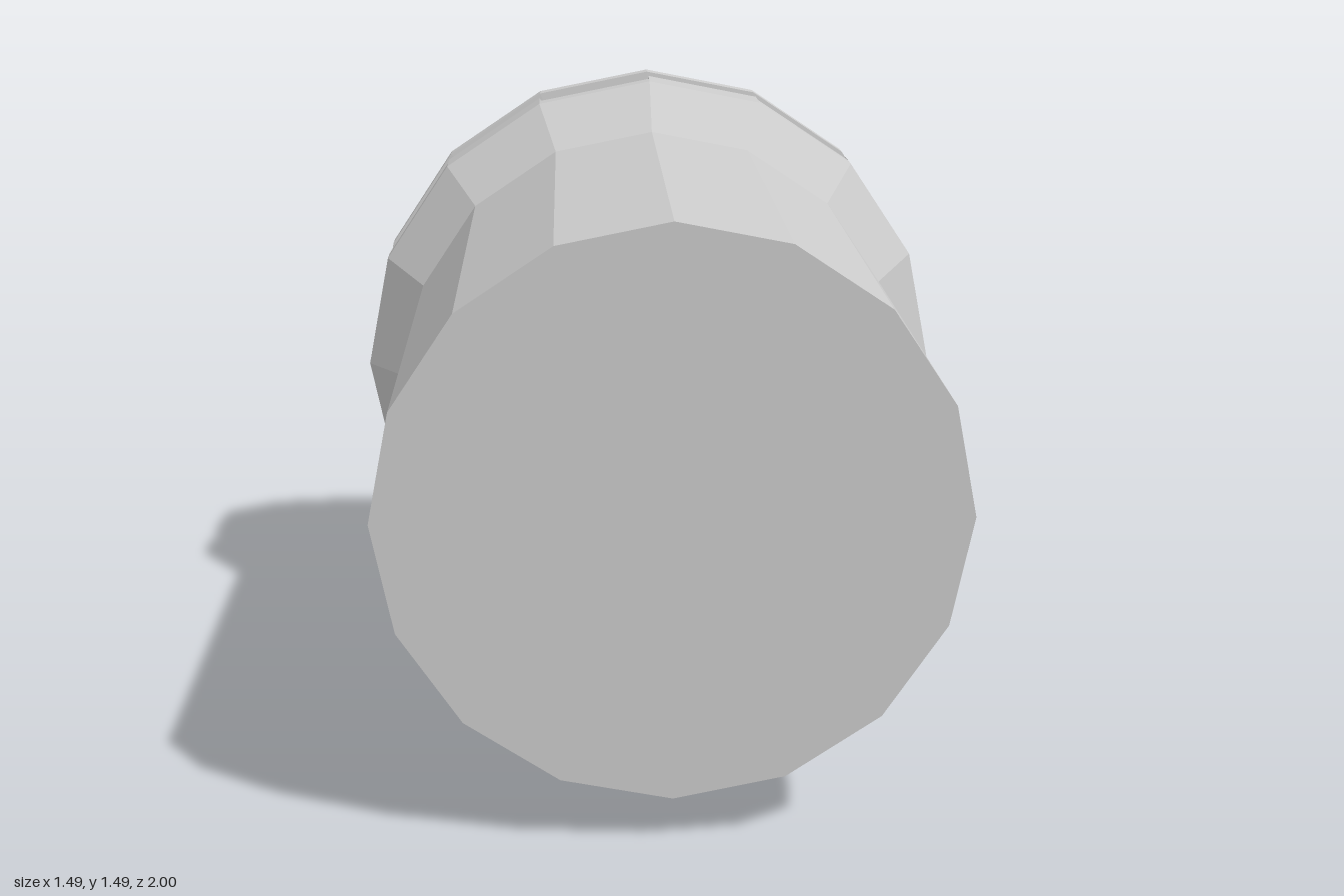
import * as THREE from 'three';

const SIDES = 16;
const STEP = (Math.PI * 2) / SIDES;
const R_BODY = 0.636;
const R_RIM = 0.745;

const material = new THREE.MeshStandardMaterial({ color: 0xcccccc, flatShading: true });

// Sixteen-sided turned part along z; profile is [radius, z] from front to back
function turned(name, profile) {
  const points = profile.map(([r, z]) => new THREE.Vector2(r, -z));
  const geometry = new THREE.LatheGeometry(points, SIDES);
  geometry.rotateX(-Math.PI / 2);
  const mesh = new THREE.Mesh(geometry, material);
  mesh.name = name;
  return mesh;
}

// One collar tooth: a box bent onto a single facet, its back face slightly sloped
function tooth(index) {
  const geometry = new THREE.BoxGeometry(1, 1, 1);
  const p = geometry.attributes.position;
  for (let i = 0; i < p.count; i++) {
    const angle = (index + (p.getX(i) > 0 ? 1 : 0)) * STEP;
    const outer = p.getY(i) > 0;
    const r = outer ? R_RIM : R_BODY;
    const z = p.getZ(i) > 0 ? (outer ? -0.35 : -0.362) : (outer ? -0.408 : -0.42);
    p.setXYZ(i, r * Math.sin(angle), r * Math.cos(angle), z);
  }
  geometry.computeVertexNormals();
  const mesh = new THREE.Mesh(geometry, material);
  mesh.name = 'collarTooth';
  return mesh;
}

export function createModel() {
  const model = new THREE.Group();
  model.name = 'pointedCylinder';

  // Long body with a closed front end
  model.add(turned('body', [[0, 1], [R_BODY, 1], [R_BODY, -0.155]]));

  // Flared collar, its back edge forming the notch floors
  model.add(turned('collar', [[R_BODY, -0.155], [R_RIM, -0.3], [R_RIM, -0.35], [R_BODY, -0.362]]));

  // Teeth on every second facet
  const teeth = new THREE.Group();
  teeth.name = 'collarTeeth';
  for (let i = 0; i < SIDES; i += 2) teeth.add(tooth(i));
  model.add(teeth);

  // Recessed neck between collar and cap
  model.add(turned('neck', [[R_BODY, -0.362], [R_BODY, -0.48]]));

  // Cap rim and the two-slope pointed nose
  model.add(turned('capRim', [[R_BODY, -0.48], [R_RIM, -0.494], [R_RIM, -0.54], [0.693, -0.54]]));
  model.add(turned('noseCone', [[0.693, -0.54], [0.5, -0.687], [0, -1]]));

  model.children.forEach((part) => { part.position.y = R_RIM; });
  return model;
}
